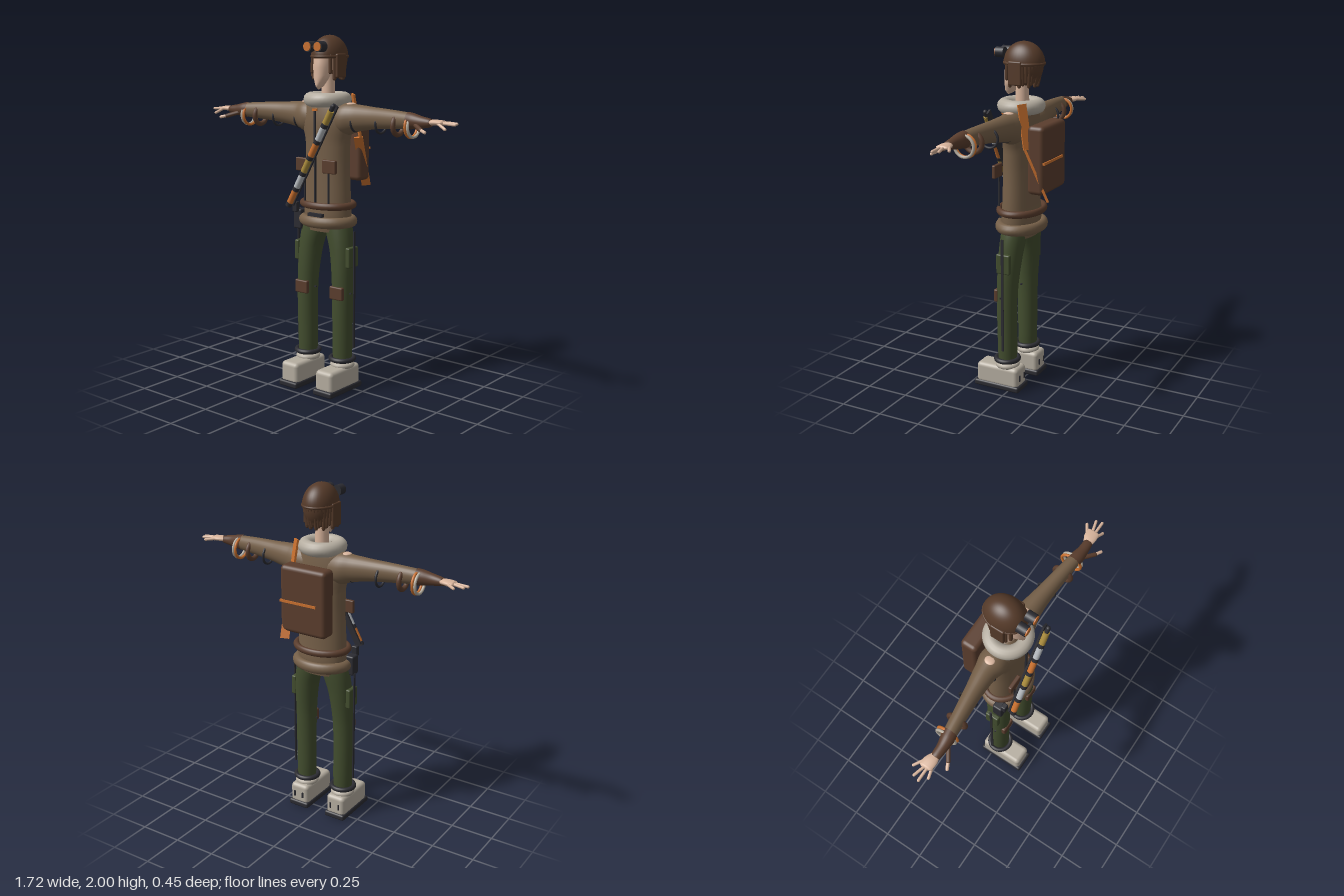
import * as THREE from 'three';
import { RoundedBoxGeometry } from 'three/addons/geometries/RoundedBoxGeometry.js';

const mat = (name, color) => new THREE.MeshStandardMaterial({ name, color });
const V = (p) => new THREE.Vector3(...p);

export function createModel() {
  const root = new THREE.Group();
  root.name = 'explorer';
  const jacket = mat('jacket tan', 0x755f48), leather = mat('leather brown', 0x5a3d2d);
  const hair = mat('hair brown', 0x553a29), green = mat('trouser green', 0x424d2e);
  const offWhite = mat('off white', 0xb5ada0), dark = mat('near black', 0x2b2b31);
  const orange = mat('orange', 0xc8702f), gold = mat('gold', 0xa88a3c);
  const silver = mat('silver', 0xb4b8bc), skin = mat('skin', 0xd8b49c);

  const add = (name, geo, m, pos = [0, 0, 0]) => {
    const mesh = new THREE.Mesh(geo, m);
    mesh.name = name;
    mesh.position.set(...pos);
    root.add(mesh);
    return mesh;
  };
  const box = (name, m, size, pos, r = 0) => add(name,
    r ? new RoundedBoxGeometry(...size, 3, r) : new THREE.BoxGeometry(...size), m, pos);
  // turn a mesh built along y so that it spans a to b
  const span = (mesh, a, b) => {
    mesh.position.copy(a).add(b).multiplyScalar(0.5);
    mesh.quaternion.setFromUnitVectors(new THREE.Vector3(0, 1, 0), b.clone().sub(a).normalize());
    return mesh;
  };
  const rod = (name, m, pa, pb, r) => {
    const a = V(pa), b = V(pb);
    return span(add(name, new THREE.CapsuleGeometry(r, a.distanceTo(b), 4, 10), m), a, b);
  };
  const strap = (name, m, pa, pb, w, t) => {
    const a = V(pa), b = V(pb);
    return span(add(name, new THREE.BoxGeometry(w, a.distanceTo(b), t), m), a, b);
  };
  // horizontal oval ring, given its outer half sizes
  const ring = (name, m, ox, oz, tube, pos) => {
    const g = new THREE.TorusGeometry(ox - tube, tube, 14, 40).rotateX(Math.PI / 2);
    return add(name, g.scale(1, 1, oz / ox), m, pos);
  };
  // smooth skin over oval sections [x, y, z, radiusA, radiusB], upright or along x
  const loft = (name, m, sections, alongX = false, n = 28) => {
    const centre = new THREE.CatmullRomCurve3(sections.map((s) => new THREE.Vector3(s[0], s[1], s[2])));
    const radii = new THREE.CatmullRomCurve3(sections.map((s) => new THREE.Vector3(s[3], s[4], 0)));
    const steps = (sections.length - 1) * 5, pos = [], idx = [];
    const flip = alongX && sections[sections.length - 1][0] > sections[0][0];
    for (let i = 0; i <= steps; i++) {
      const c = centre.getPoint(i / steps), r = radii.getPoint(i / steps);
      for (let j = 0; j < n; j++) {
        const t = (j / n) * Math.PI * 2;
        const u = Math.max(r.x, 0.001) * Math.cos(t), v = Math.max(r.y, 0.001) * Math.sin(t);
        pos.push(c.x + (alongX ? 0 : u), c.y + (alongX ? u : 0), c.z + v);
        if (i === steps) continue;
        const a = i * n + j, b = i * n + (j + 1) % n, d = a + n, e = b + n;
        if (flip) idx.push(a, b, d, b, e, d);
        else idx.push(a, d, b, b, d, e);
      }
    }
    const g = new THREE.BufferGeometry();
    g.setAttribute('position', new THREE.Float32BufferAttribute(pos, 3));
    g.setIndex(idx);
    g.computeVertexNormals();
    return add(name, g, m);
  };

  // head, neck and face
  loft('face', skin, [[0, 1.705, 0.085, 0.002, 0.002], [0, 1.725, 0.075, 0.016, 0.03],
    [0, 1.77, 0.06, 0.042, 0.045], [0, 1.84, 0.04, 0.055, 0.062], [0, 1.92, 0.02, 0.06, 0.07]]);
  add('neck', new THREE.CylinderGeometry(0.035, 0.04, 0.18, 20), skin, [0, 1.7, 0]);

  // flying cap and the hair beneath it
  const dome = new THREE.SphereGeometry(1, 36, 18, 0, Math.PI * 2, 0, Math.PI * 0.52);
  add('cap', dome.scale(0.092, 0.118, 0.118), hair, [0, 1.882, -0.012]);
  add('backHair', new THREE.SphereGeometry(1, 28, 18).scale(0.082, 0.115, 0.085), hair, [0, 1.875, -0.035]);
  ring('capBand', hair, 0.097, 0.122, 0.008, [0, 1.884, -0.012]);
  for (let i = 0; i < 22; i++) {
    const t = -0.5 + (i / 21) * (Math.PI + 1), end = 1.765 + 0.02 * (i % 3) * 0.6;
    const back = Math.max(0, -Math.sin(-t)), k = 1 - 0.3 * back;
    const c = Math.cos(t), s = -Math.sin(t);
    rod('hairStrand', hair, [0.083 * c, 1.89, -0.012 + 0.105 * s],
      [0.083 * c * k, end, -0.012 + 0.105 * s * k], 0.01);
  }
  for (const s of [-1, 1]) {
    box('earFlap', hair, [0.02, 0.13, 0.08], [s * 0.087, 1.835, 0], 0.008);
    rod('foreLock', hair, [s * 0.062, 1.89, 0.06], [s * 0.064, 1.8, 0.062], 0.01);
    // goggles
    const put = (name, m, r, h, z) => add(name,
      new THREE.CylinderGeometry(r, r, h, 24).rotateX(Math.PI / 2), m, [s * 0.036, 1.938, z]);
    put('goggleRim', dark, 0.029, 0.05, 0.112);
    put('goggleLens', orange, 0.024, 0.008, 0.139);
  }
  box('goggleBridge', dark, [0.04, 0.01, 0.012], [0, 1.938, 0.125]);

  // jacket
  loft('jacketBody', jacket, [[0, 0.915, 0.005, 0.14, 0.085], [0, 1.0, 0.005, 0.15, 0.1],
    [0, 1.1, 0.005, 0.148, 0.095], [0, 1.3, 0.005, 0.14, 0.09], [0, 1.42, 0.005, 0.143, 0.09],
    [0, 1.53, 0.005, 0.17, 0.09], [0, 1.62, 0.003, 0.14, 0.078], [0, 1.67, 0, 0.05, 0.05]]);
  ring('furCollar', offWhite, 0.135, 0.133, 0.04, [0, 1.65, 0.006]);
  ring('waistBelt', leather, 0.175, 0.135, 0.02, [0, 1.065, 0.003]);
  ring('jacketHem', jacket, 0.18, 0.14, 0.032, [0, 0.972, 0.004]);
  box('buckle', dark, [0.1, 0.02, 0.02], [0, 1.012, 0.112]);
  box('zip', dark, [0.01, 0.52, 0.01], [0, 1.34, 0.117]);
  box('zipPull', orange, [0.03, 0.012, 0.012], [0, 1.598, 0.117]);
  for (const s of [-1, 1]) {
    box('chestPocket', leather, [0.092, 0.075, 0.022], [s * 0.095, 1.29, 0.108], 0.006);
    box('jacketSeam', dark, [0.008, 0.2, 0.008], [s * 0.085, 1.16, 0.103]);
  }

  // arms, cuffs, hands and hanging hoops
  for (const s of [-1, 1]) {
    const side = (list) => list.map(([x, ...rest]) => [s * x, ...rest]);
    loft('sleeve', jacket, side([[0.05, 1.54, 0, 0.08, 0.07], [0.13, 1.545, 0, 0.09, 0.078],
      [0.2, 1.555, 0, 0.075, 0.062], [0.32, 1.562, 0.01, 0.06, 0.048],
      [0.46, 1.565, 0.025, 0.05, 0.04], [0.6, 1.565, 0.04, 0.04, 0.035]]), true);
    loft('cuff', leather, side([[0.565, 1.565, 0.037, 0.046, 0.041], [0.6, 1.565, 0.042, 0.041, 0.038],
      [0.65, 1.562, 0.046, 0.032, 0.03], [0.71, 1.562, 0.045, 0.02, 0.024], [0.715, 1.562, 0.045, 0.002, 0.002]]), true);
    loft('palm', skin, side([[0.69, 1.563, 0.045, 0.014, 0.02], [0.74, 1.566, 0.038, 0.014, 0.036],
      [0.775, 1.565, 0.036, 0.012, 0.036], [0.785, 1.565, 0.036, 0.002, 0.02]]), true, 16);
    const at = (x, y, z) => [s * x, y, z];
    rod('glovedThumb', leather, at(0.62, 1.55, 0.062), at(0.685, 1.528, 0.105), 0.012);
    rod('thumb', skin, at(0.685, 1.528, 0.105), at(0.72, 1.52, 0.122), 0.009);
    [[0.8, 1.56, -0.02, 0.008], [0.84, 1.562, 0.012, 0.036], [0.85, 1.56, 0.045, 0.046], [0.81, 1.537, 0.075, 0.062]]
      .forEach(([x, y, z, base]) => rod('finger', skin, at(0.755, 1.565, base), at(x, y, z), 0.008));
    [[0.2, 0.058, 0.007, dark], [0.365, 0.058, 0.007, dark], [0.49, 0.063, 0.014, leather],
      [0.572, 0.066, 0.008, orange], [0.588, 0.064, 0.008, offWhite]].forEach(([x, outer, tube, m]) =>
      add('sleeveHoop', new THREE.TorusGeometry(outer - tube, tube, 10, 28).rotateY(Math.PI / 2), m,
        at(x, 1.535, x > 0.45 ? 0.025 : 0.005)));
    // bare patch on the shoulder
    add('shoulderPatch', new THREE.SphereGeometry(1, 16, 10).scale(0.025, 0.008, 0.028), skin, at(0.16, 1.63, 0));
  }

  // bandolier with coloured cartridges
  const top = V([0.155, 1.63, 0.127]), low = V([-0.165, 1.06, 0.127]);
  strap('bandolier', dark, top.toArray(), low.toArray(), 0.036, 0.012);
  rod('bandolierTop', dark, [0.152, 1.625, 0.148], [0.14, 1.604, 0.148], 0.013);
  const fills = [gold, silver, orange];
  for (let i = 0; i < 6; i++) {
    const mid = top.clone().lerp(low, 0.115 + i * 0.16).setZ(0.148);
    const half = low.clone().sub(top).multiplyScalar(0.062);
    const shell = add('cartridge', new THREE.CylinderGeometry(0.018, 0.018, half.length() * 2, 18), fills[i % 3]);
    span(shell, mid.clone().sub(half), mid.clone().add(half));
    const cap = add('cartridgeCap', new THREE.CylinderGeometry(0.019, 0.019, 0.022, 18), dark);
    span(cap, mid.clone().addScaledVector(half, 1.1), mid.clone().addScaledVector(half, 1.55));
  }
  box('hipPouch', dark, [0.058, 0.115, 0.06], [-0.162, 0.968, 0.055], 0.01);
  box('pouchClip', dark, [0.035, 0.06, 0.03], [-0.165, 1.04, 0.09], 0.006);

  // backpack and its straps
  box('backpack', leather, [0.29, 0.38, 0.1], [0, 1.38, -0.15], 0.025);
  box('packBand', orange, [0.23, 0.014, 0.012], [0.025, 1.37, -0.2]);
  strap('upperStrap', orange, [0.125, 1.68, -0.06], [0.14, 1.44, -0.105], 0.05, 0.012);
  strap('lowerStrap', orange, [0.142, 1.44, -0.088], [0.108, 1.155, -0.21], 0.05, 0.014);

  // legs, pockets, knee patches and boots
  for (const s of [-1, 1]) {
    const x = s * 0.127;
    loft('trouserLeg', green, [[x, 0.16, 0.03, 0.053, 0.053], [x, 0.25, 0.03, 0.057, 0.056],
      [x, 0.6, 0.03, 0.06, 0.06], [s * 0.113, 0.8, 0.018, 0.069, 0.068],
      [s * 0.088, 0.92, 0.01, 0.08, 0.072], [s * 0.075, 0.98, 0.008, 0.078, 0.07]]);
    box('cargoPocket', green, [0.03, 0.115, 0.085], [s * 0.185, 0.782, 0.022], 0.008);
    box('legCord', dark, [0.006, 0.67, 0.014], [s * 0.203, 0.595, 0.022]);
    box('kneePatch', leather, [0.09, 0.075, 0.026], [x, 0.577, 0.083], 0.008);
    box('kneeStrap', dark, [0.14, 0.008, 0.008], [x, 0.577, 0.04]);
    ring('ankleCuff', dark, 0.08, 0.078, 0.014, [x, 0.187, 0.032]);
    ring('bootCollar', offWhite, 0.07, 0.07, 0.016, [x, 0.152, 0.03]);
    box('boot', offWhite, [0.122, 0.125, 0.267], [x, 0.086, 0.073], 0.024);
    box('sole', dark, [0.134, 0.036, 0.29], [x, 0.022, 0.075], 0.012);
    for (const d of [-0.028, 0.028])
      box('heelTab', dark, [0.01, 0.035, 0.008], [x + d, 0.085, -0.061]);
  }
  return root;
}
